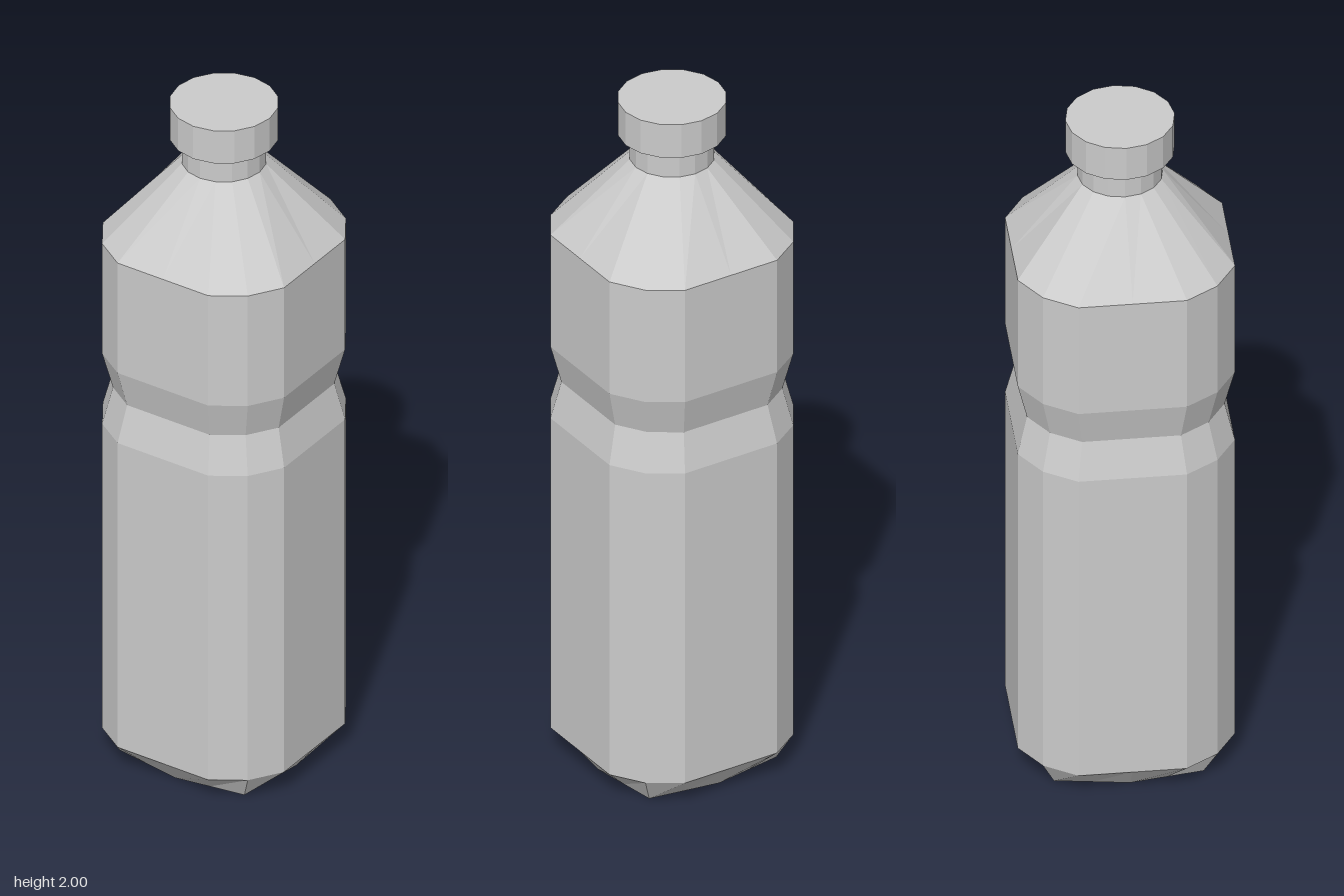
import * as THREE from 'three';

const material = new THREE.MeshStandardMaterial({ color: 0xcccccc, flatShading: true });

// 16-point ring, mirrored from one quarter: edge middle, edge end, diagonal corner
function ring(y, mid, end, corner) {
  const quarter = [[0, mid], [end[0], end[1]], [corner, corner], [end[1], end[0]]];
  const points = [];
  for (let q = 0; q < 4; q++) {
    const c = [1, 0, -1, 0][q], s = [0, 1, 0, -1][q];
    for (const [x, z] of quarter) points.push([x * c + z * s, y, z * c - x * s]);
  }
  return points;
}

const squareRing = (y, k = 1) => ring(y, 0.29 * k, [0.145 * k, 0.29 * k], 0.233 * k);
const roundRing = (y, r) => ring(y, r, [r * 0.383, r * 0.924], r * 0.707);

// Skin consecutive rings and close both ends
function loft(rings) {
  const n = rings[0].length, pos = rings.flat(2), idx = [];
  for (let i = 0; i < rings.length - 1; i++) {
    for (let j = 0; j < n; j++) {
      const a = i * n + j, b = i * n + (j + 1) % n;
      idx.push(a, b, b + n, a, b + n, a + n);
    }
  }
  const last = (rings.length - 1) * n, bottom = rings.length * n;
  pos.push(0, rings[0][0][1], 0, 0, rings[rings.length - 1][0][1], 0);
  for (let j = 0; j < n; j++) {
    const k = (j + 1) % n;
    idx.push(bottom, k, j, bottom + 1, last + j, last + k);
  }
  const geometry = new THREE.BufferGeometry();
  geometry.setAttribute('position', new THREE.Float32BufferAttribute(pos, 3));
  geometry.setIndex(idx);
  const flat = geometry.toNonIndexed();
  flat.computeVertexNormals();
  return flat;
}

export function createModel() {
  const group = new THREE.Group();
  group.name = 'bottle';

  const add = (name, geometry, y = 0) => {
    const mesh = new THREE.Mesh(geometry, material);
    mesh.name = name;
    mesh.position.y = y;
    group.add(mesh);
  };

  // Bevelled base, walls, pinched waist and tapering shoulder
  add('body', loft([
    ring(0, 0.232, [0.1, 0.216], 0.2),
    squareRing(0.075),
    squareRing(1.03),
    squareRing(1.14, 0.91),
    squareRing(1.25),
    squareRing(1.595),
    roundRing(1.82, 0.114),
  ]));

  // Short round neck
  add('neck', new THREE.CylinderGeometry(0.114, 0.114, 0.08, 16), 1.86);

  // Screw cap
  add('cap', new THREE.CylinderGeometry(0.146, 0.146, 0.102, 16), 1.949);

  return group;
}
